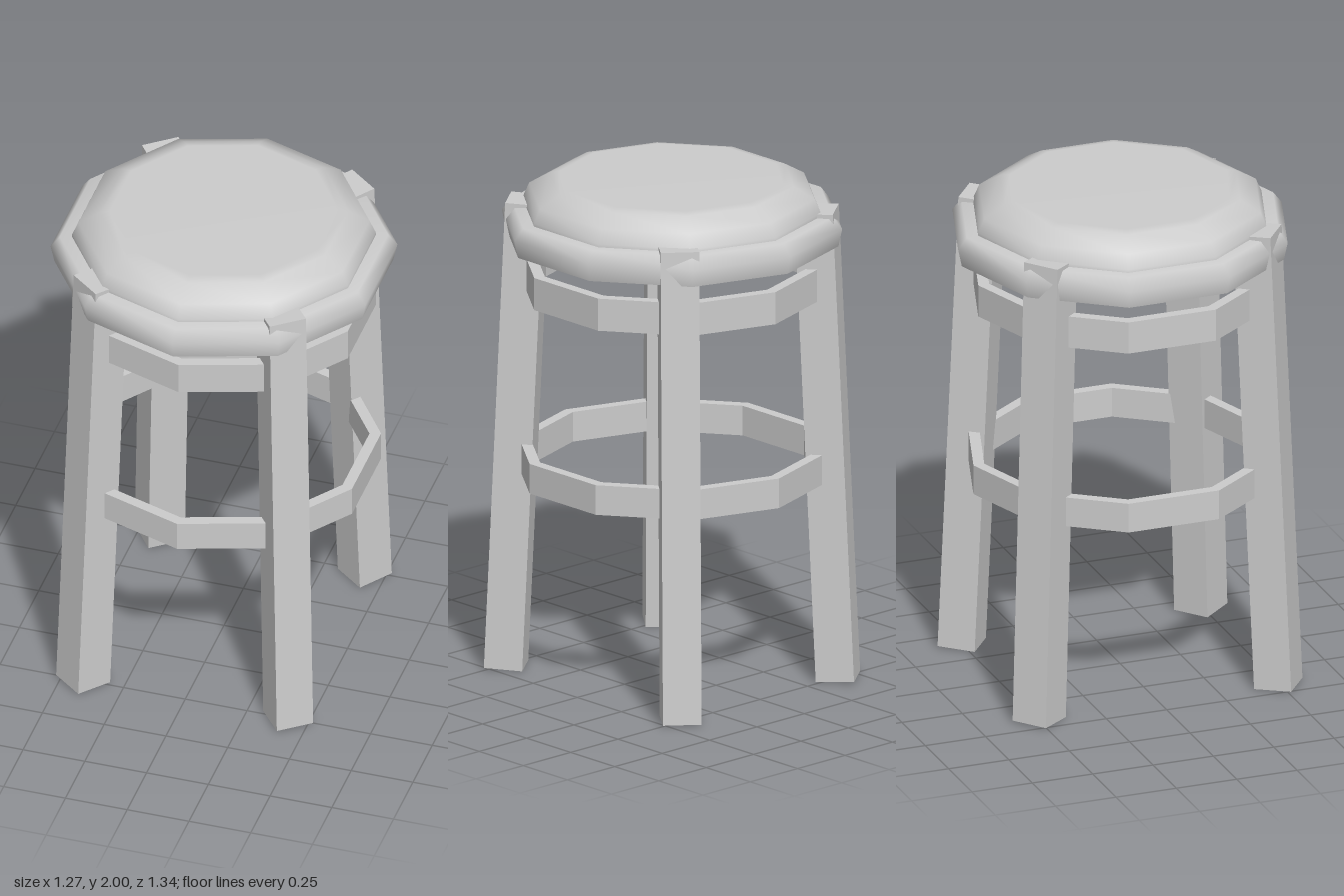
import * as THREE from 'three';

const SIDES = 10; // seat and hoops are ten-sided, with a corner facing the front

export function createModel() {
  const grey = new THREE.MeshStandardMaterial({ color: 0xcccccc });
  grey.name = 'plain grey';
  const greyFlat = grey.clone();
  greyFlat.flatShading = true;

  const model = new THREE.Group();
  model.name = 'stool';

  const add = (name, geometry, material) => {
    const mesh = new THREE.Mesh(geometry, material);
    mesh.name = name;
    model.add(mesh);
    return mesh;
  };
  const lathe = (points) =>
    new THREE.LatheGeometry(points.map(([r, y]) => new THREE.Vector2(r, y)), SIDES);

  // Seat board with a rounded rim, and its flat underside
  add('seatBoard', lathe([[0.655, 1.76], [0.67, 1.83], [0.634, 1.877], [0.5, 1.88]]), grey);
  add('seatUnderside', lathe([[0, 1.76], [0.655, 1.76]]), greyFlat);

  // Domed cushion
  add('cushion', lathe([[0.588, 1.875], [0.586, 1.89], [0.562, 1.945], [0.48, 1.992], [0.44, 2], [0, 2]]), grey);

  // Flat hoops that tie the legs together
  const hoop = (name, radius, bottom, top, thick = 0.045) =>
    add(name, lathe([
      [radius, bottom], [radius, top], [radius - thick, top], [radius - thick, bottom], [radius, bottom],
    ]), greyFlat);
  hoop('upperHoop', 0.587, 1.54, 1.67);
  hoop('lowerHoop', 0.607, 0.8, 0.92);

  // Four square legs leaning in towards the seat
  for (const sx of [1, -1]) {
    for (const sz of [1, -1]) {
      const foot = new THREE.Vector3(sx * 0.415, 0.004, sz * 0.495);
      const head = new THREE.Vector3(sx * 0.365, 1.892, sz * 0.428);
      const axis = head.clone().sub(foot);
      const leg = add(
        `${sz > 0 ? 'front' : 'back'}${sx > 0 ? 'Left' : 'Right'}Leg`,
        new THREE.BoxGeometry(0.15, axis.length(), 0.15), greyFlat);
      leg.position.copy(foot).add(head).multiplyScalar(0.5);
      const lean = new THREE.Quaternion().setFromUnitVectors(new THREE.Vector3(0, 1, 0), axis.normalize());
      const turn = new THREE.Quaternion().setFromAxisAngle(
        new THREE.Vector3(0, 1, 0), sx * sz * THREE.MathUtils.degToRad(38));
      leg.quaternion.copy(lean).multiply(turn);
    }
  }
  return model;
}
